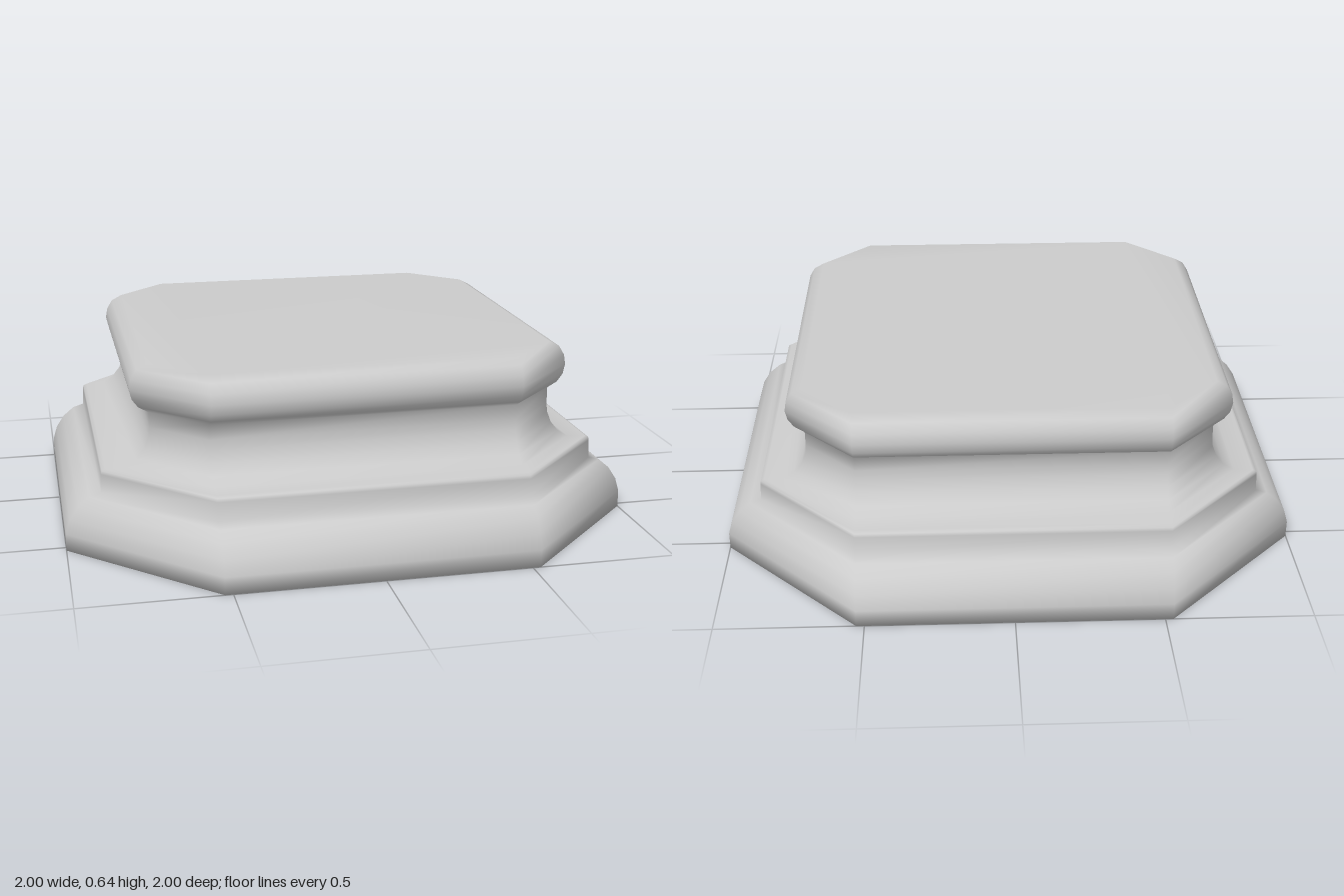
import * as THREE from 'three';

// Moulding profile as [half width, height], from the floor up
const PROFILE = [
  [1, 0], [1, 0.06], [0.985, 0.11], [0.955, 0.155], [0.915, 0.188], [0.875, 0.2],
  [0.873, 0.265], [0.87, 0.277], [0.858, 0.283], [0.79, 0.286],
  [0.752, 0.31], [0.724, 0.345], [0.708, 0.385], [0.705, 0.42], [0.705, 0.473],
  [0.74, 0.493], [0.76, 0.52], [0.768, 0.555], [0.762, 0.59], [0.742, 0.623], [0.706, 0.642],
];
const FLAT = 0.527; // half length of each straight side, the same at every height

// Chamfered square, running from +z towards +x
function ring(r, y) {
  return [
    [-FLAT, r], [FLAT, r], [r, FLAT], [r, -FLAT],
    [FLAT, -r], [-FLAT, -r], [-r, -FLAT], [-r, FLAT],
  ].flatMap(([x, z]) => [x, y, z]);
}

function loftGeometry() {
  const positions = PROFILE.flatMap(([r, y]) => ring(r, y));
  const index = [];
  const n = 8;
  // Side walls
  for (let i = 0; i < PROFILE.length - 1; i++) {
    for (let j = 0; j < n; j++) {
      const a = i * n + j, b = i * n + ((j + 1) % n);
      index.push(a, b, b + n, a, b + n, a + n);
    }
  }
  // Flat underside and top
  const top = (PROFILE.length - 1) * n;
  for (let j = 1; j < n - 1; j++) {
    index.push(0, j + 1, j);
    index.push(top, top + j, top + j + 1);
  }
  const g = new THREE.BufferGeometry();
  g.setAttribute('position', new THREE.Float32BufferAttribute(positions, 3));
  g.setIndex(index);
  g.computeVertexNormals();
  return g;
}

export function createModel() {
  const group = new THREE.Group();
  group.name = 'pedestal';
  const body = new THREE.Mesh(loftGeometry(), new THREE.MeshStandardMaterial({ color: 0xcccccc }));
  body.name = 'mouldedPlinth';
  group.add(body);
  return group;
}
